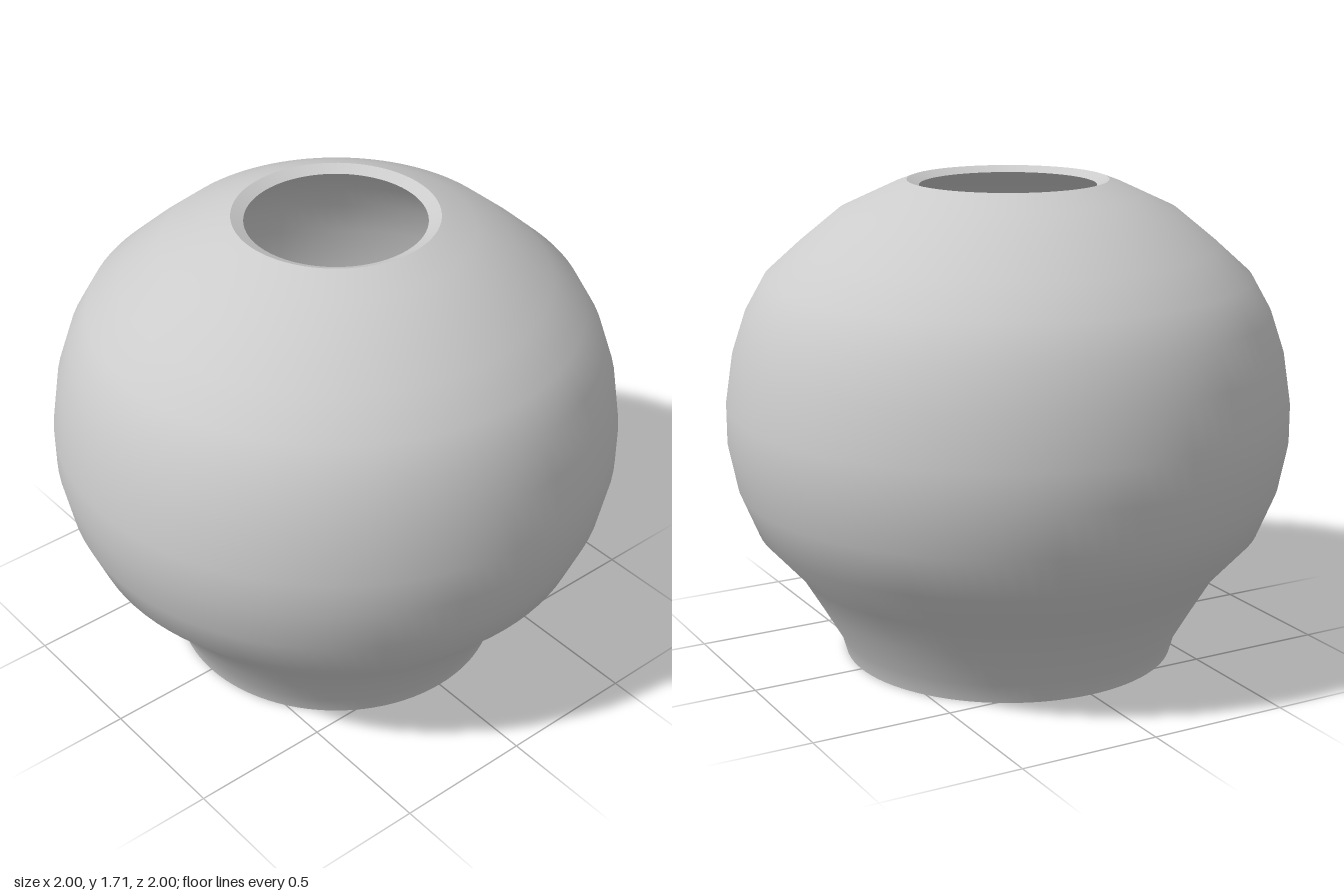
import * as THREE from 'three';

// Outer silhouette from foot to mouth, as [radius, height]
const OUTER = [
  [0.595, 0], [0.615, 0.07], [0.69, 0.2], [0.765, 0.326], [0.904, 0.48],
  [0.968, 0.637], [1, 0.8], [1, 0.934], [0.973, 1.11], [0.925, 1.254],
  [0.856, 1.377], [0.738, 1.484], [0.597, 1.6], [0.47, 1.66],
  [0.406, 1.69], [0.353, 1.71],
];
const WALL = 0.04;
const MOUTH = [0.31, 1.69];

// Shift each inner profile point inwards along its normal
function insetProfile(profile, distance) {
  return profile.slice(1, -1).map(([r, y], i) => {
    const [r0, y0] = profile[i];
    const [r1, y1] = profile[i + 2];
    const length = Math.hypot(r1 - r0, y1 - y0);
    return [r - (distance * (y1 - y0)) / length, y + (distance * (r1 - r0)) / length];
  });
}

export function createModel() {
  const model = new THREE.Group();
  model.name = 'roundShade';
  const material = new THREE.MeshStandardMaterial({ color: 0xcccccc, side: THREE.DoubleSide });

  const addLathe = (name, profile) => {
    const points = profile.map(([r, y]) => new THREE.Vector2(r, y));
    const mesh = new THREE.Mesh(new THREE.LatheGeometry(points, 96), material);
    mesh.name = name;
    model.add(mesh);
  };

  // Bulbous outside with a flared neck
  addLathe('outerWall', OUTER);

  // Bevelled rim around the top opening
  addLathe('mouthRim', [OUTER[OUTER.length - 1], MOUTH]);

  // Inside surface, tapering to a thin edge at the open foot
  const inset = insetProfile(OUTER, WALL).slice(0, -1);
  addLathe('innerWall', [MOUTH, ...inset.reverse(), OUTER[0]]);

  return model;
}
